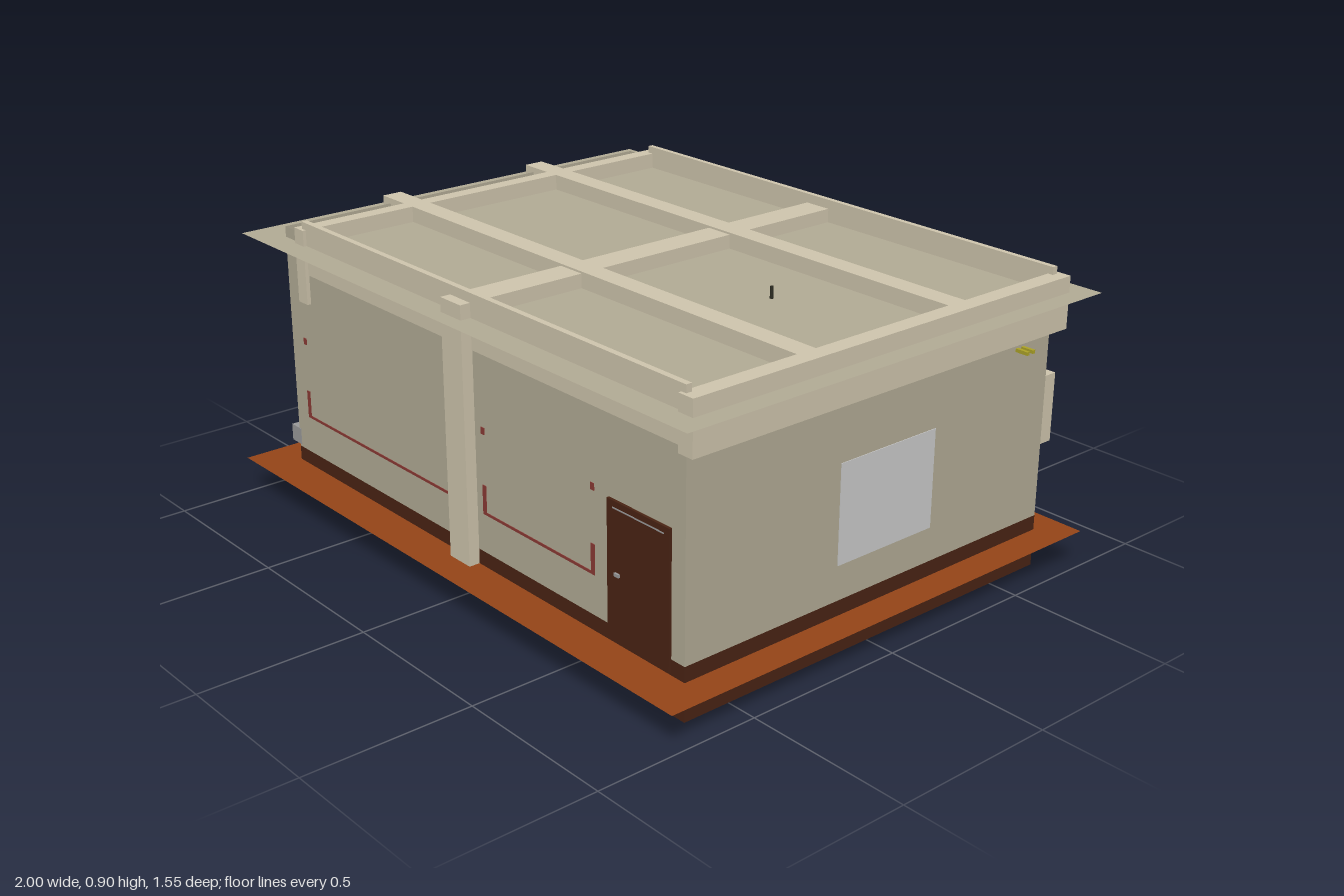
import * as THREE from 'three';

const mat = (color, side = THREE.FrontSide) => new THREE.MeshStandardMaterial({ color, side });
const M = {
  wall: mat(0xb3ac96, THREE.DoubleSide), beam: mat(0xd0c6ae), base: mat(0x4a2414, THREE.DoubleSide),
  floor: mat(0x964518, THREE.DoubleSide), door: mat(0x4a2414), glass: mat(0xc8c8c8),
  red: mat(0x8a3a34), blue: mat(0x98a2d0), bar: mat(0x55565e), grey: mat(0x9a9a9a),
  olive: mat(0xaea428), dark: mat(0x2c2c22)
};

export function createModel() {
  const root = new THREE.Group();

  function add(name, geometry, material, parent = root) {
    const mesh = new THREE.Mesh(geometry, material);
    mesh.name = name;
    parent.add(mesh);
    return mesh;
  }

  // box given by its limits on each axis
  function box(name, material, x0, x1, y0, y1, z0, z1, parent = root) {
    const mesh = add(name, new THREE.BoxGeometry(x1 - x0, y1 - y0, z1 - z0), material, parent);
    mesh.position.set((x0 + x1) / 2, (y0 + y1) / 2, (z0 + z1) / 2);
    return mesh;
  }

  // four upright sides without top or bottom
  function shell(name, material, y0, y1) {
    const mesh = box(name, material, -0.885, 0.905, y0, y1, -0.682, 0.648);
    const index = Array.from(mesh.geometry.index.array);
    index.splice(12, 12);
    mesh.geometry.setIndex(index);
    mesh.geometry.clearGroups();
  }

  // flat horizontal sheet
  function sheet(name, material, y, z0, z1) {
    const mesh = add(name, new THREE.PlaneGeometry(2, z1 - z0).rotateX(-Math.PI / 2), material);
    mesh.position.set(0, y, (z0 + z1) / 2);
  }

  // shell of the building with overhanging floor and roof
  shell('baseWalls', M.base, 0, 0.157);
  shell('walls', M.wall, 0.157, 0.862);
  sheet('floor', M.floor, 0.112, -0.775, 0.772);
  sheet('roof', M.wall, 0.83, -0.775, 0.73);

  // roof beams
  box('leftEndBeam', M.beam, 0.888, 0.94, 0.725, 0.878, -0.71, 0.66);
  box('rightEndBeam', M.beam, -0.812, -0.765, 0.65, 0.878, -0.71, 0.66);
  box('frontEdgeBeam', M.beam, -0.785, 0.905, 0.74, 0.9, 0.632, 0.65);
  box('backEdgeBeam', M.beam, -0.785, 0.905, 0.74, 0.9, -0.695, -0.678);
  for (const z of [-0.338, 0.212]) box('longBeam', M.beam, -0.925, 0.89, 0.815, 0.878, z, z + 0.065);

  // central portal: two posts and a cross beam
  box('frontPost', M.beam, -0.038, 0.052, 0.11, 0.83, 0.62, 0.682);
  box('backPost', M.beam, -0.038, 0.052, 0.11, 0.83, -0.73, -0.66);
  box('crossBeam', M.beam, -0.038, 0.052, 0.79, 0.872, -0.73, 0.682);

  // door with handle
  const door = new THREE.Group();
  door.name = 'door';
  root.add(door);
  box('doorPanel', M.door, 0.618, 0.855, 0.12, 0.515, 0.64, 0.656, door);
  box('doorTopTrim', M.grey, 0.64, 0.835, 0.494, 0.498, 0.65, 0.657, door);
  box('doorHandle', M.grey, 0.65, 0.668, 0.311, 0.32, 0.65, 0.662, door);

  // exposed edges of the two front window frames
  for (const [x0, x1] of [[-0.82, -0.066], [0.08, 0.56]]) {
    box('frameSill', M.red, x0, x1, 0.273, 0.281, 0.64, 0.65);
    for (const x of [x0, x1 - 0.015]) {
      box('frameSide', M.red, x, x + 0.015, 0.273, 0.36, 0.64, 0.65);
      box('frameCorner', M.red, x, x + 0.015, 0.51, 0.53, 0.64, 0.65);
    }
  }

  // side window and the pair of small pins beside it
  box('sideWindow', M.glass, 0.89, 0.907, 0.26, 0.55, -0.23, 0.123);
  for (const z of [-0.547, -0.57]) box('wallPin', M.olive, 0.89, 0.945, 0.688, 0.698, z - 0.005, z + 0.005);

  // back windows: barred grille, panel and small framed box
  const rect = (w, h) => [[-w, -h], [w, -h], [w, h], [-w, h]].map(p => new THREE.Vector2(...p));
  const frame = new THREE.Shape(rect(0.08, 0.055));
  frame.holes.push(new THREE.Path(rect(0.07, 0.045)));
  const frameGeometry = new THREE.ExtrudeGeometry(frame, { depth: 0.035, bevelEnabled: false });
  for (const cx of [0.46, -0.44]) {
    const win = new THREE.Group();
    win.name = 'backWindow';
    win.position.x = cx;
    root.add(win);
    box('panel', M.blue, -0.262, 0.262, 0.25, 0.66, -0.724, -0.712, win);
    for (const x of [-0.155, -0.055, 0.05, 0.155]) {
      // two bars of the right window stand proud of the panel
      const front = cx < 0 && x < 0 ? -0.728 : -0.722;
      box('uprightBar', M.bar, x - 0.003, x + 0.003, 0.21, 0.71, front, -0.714, win);
    }
    for (let i = 0; i < 8; i++) {
      const y = 0.28 + i * 0.05;
      box('crossBar', M.bar, -0.28, 0.28, y - 0.003, y + 0.003, -0.722, -0.714, win);
    }
    add('boxFrame', frameGeometry, M.blue, win).position.set(0, 0.445, -0.752);
    box('boxFace', M.grey, -0.07, 0.07, 0.4, 0.49, -0.746, -0.72, win);
  }

  // utility box on the back wall, side duct and roof pin
  box('utilityBox', M.beam, 0.74, 0.88, 0.36, 0.567, -0.757, -0.67);
  box('sideDuct', M.grey, -0.925, -0.875, 0.165, 0.217, -0.68, 0.65);
  const pin = add('roofPin', new THREE.CylinderGeometry(0.005, 0.005, 0.04, 8), M.dark);
  pin.position.set(0.45, 0.845, -0.06);

  return root;
}
